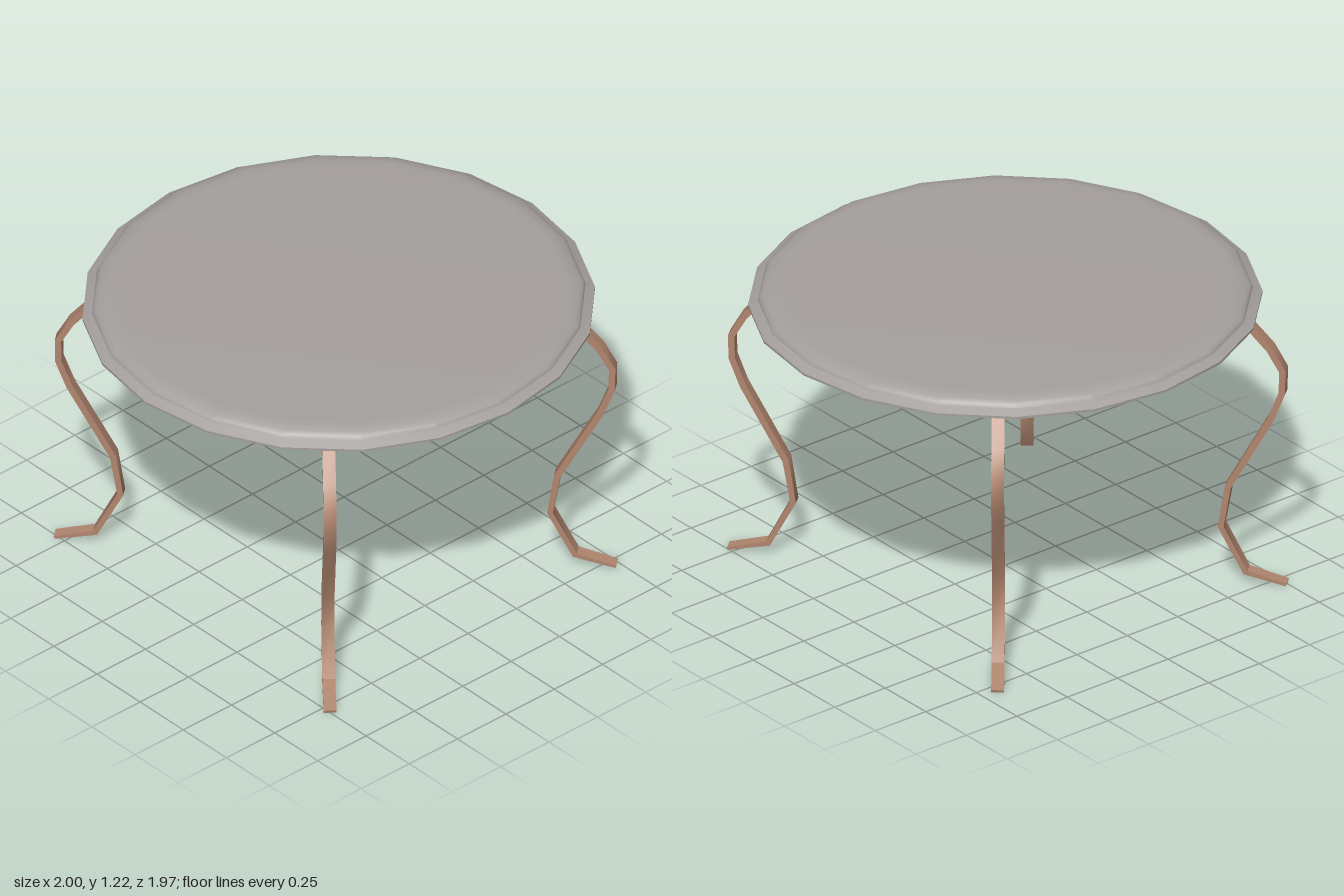
import * as THREE from 'three';
import { toCreasedNormals } from 'three/addons/utils/BufferGeometryUtils.js';

const stone = new THREE.MeshStandardMaterial({ color: 0xa5a09e });
stone.name = 'warm grey top';
const wood = new THREE.MeshStandardMaterial({ color: 0xb0866f });
wood.name = 'brown wood';

// Twenty-sided top with a sloped lip and rounded inner step
function makeTop() {
  const profile = [
    [0, 1.16], [1, 1.16], [1, 1.17], [0.963, 1.188], [0.957, 1.2],
    [0.94, 1.211], [0.9, 1.218], [0.87, 1.219], [0, 1.219],
  ].map(([r, y]) => new THREE.Vector2(r, y));
  const geometry = new THREE.LatheGeometry(profile, 20);
  geometry.scale(1, 1, 0.985);
  const top = new THREE.Mesh(toCreasedNormals(geometry, 0.55), stone);
  top.name = 'tableTop';
  return top;
}

// Flat S-curved strip: [outward offset, height, half thickness], top to toe
function makeLegGeometry() {
  const path = [
    [-0.18, 1.165, 0.013], [-0.055, 1.025, 0.013], [-0.005, 0.935, 0.013],
    [-0.007, 0.84, 0.013], [-0.05, 0.725, 0.013], [-0.22, 0.41, 0.013],
    [-0.248, 0.235, 0.012], [-0.15, 0.045, 0.011], [0.01, 0.007, 0.006],
  ];
  const outer = [];
  const inner = [];
  path.forEach(([x, y, half], i) => {
    const a = path[Math.max(i - 1, 0)];
    const b = path[Math.min(i + 1, path.length - 1)];
    const t = new THREE.Vector2(b[0] - a[0], b[1] - a[1]).normalize();
    outer.push(new THREE.Vector2(x - t.y * half, Math.max(0, y + t.x * half)));
    inner.push(new THREE.Vector2(x + t.y * half, Math.max(0, y - t.x * half)));
  });
  const width = 0.05;
  const shape = new THREE.Shape([...outer, ...inner.reverse()]);
  const geometry = new THREE.ExtrudeGeometry(shape, { depth: width, bevelEnabled: false });
  geometry.translate(0, 0, -width / 2);
  return toCreasedNormals(geometry, 0.7);
}

export function createModel() {
  const model = new THREE.Group();
  model.name = 'roundTable';
  model.add(makeTop());

  // Legs splay outward along the diagonals
  const legGeometry = makeLegGeometry();
  const legs = [
    ['frontLeftLeg', 0.73, 0.78],
    ['frontRightLeg', -0.745, 0.785],
    ['backLeftLeg', 0.68, -0.795],
    ['backRightLeg', -0.745, -0.795],
  ];
  for (const [name, x, z] of legs) {
    const leg = new THREE.Mesh(legGeometry, wood);
    leg.name = name;
    leg.position.set(x, 0, z);
    leg.rotation.y = Math.atan2(-0.77 * Math.sign(z), 0.64 * Math.sign(x));
    model.add(leg);
  }
  return model;
}
